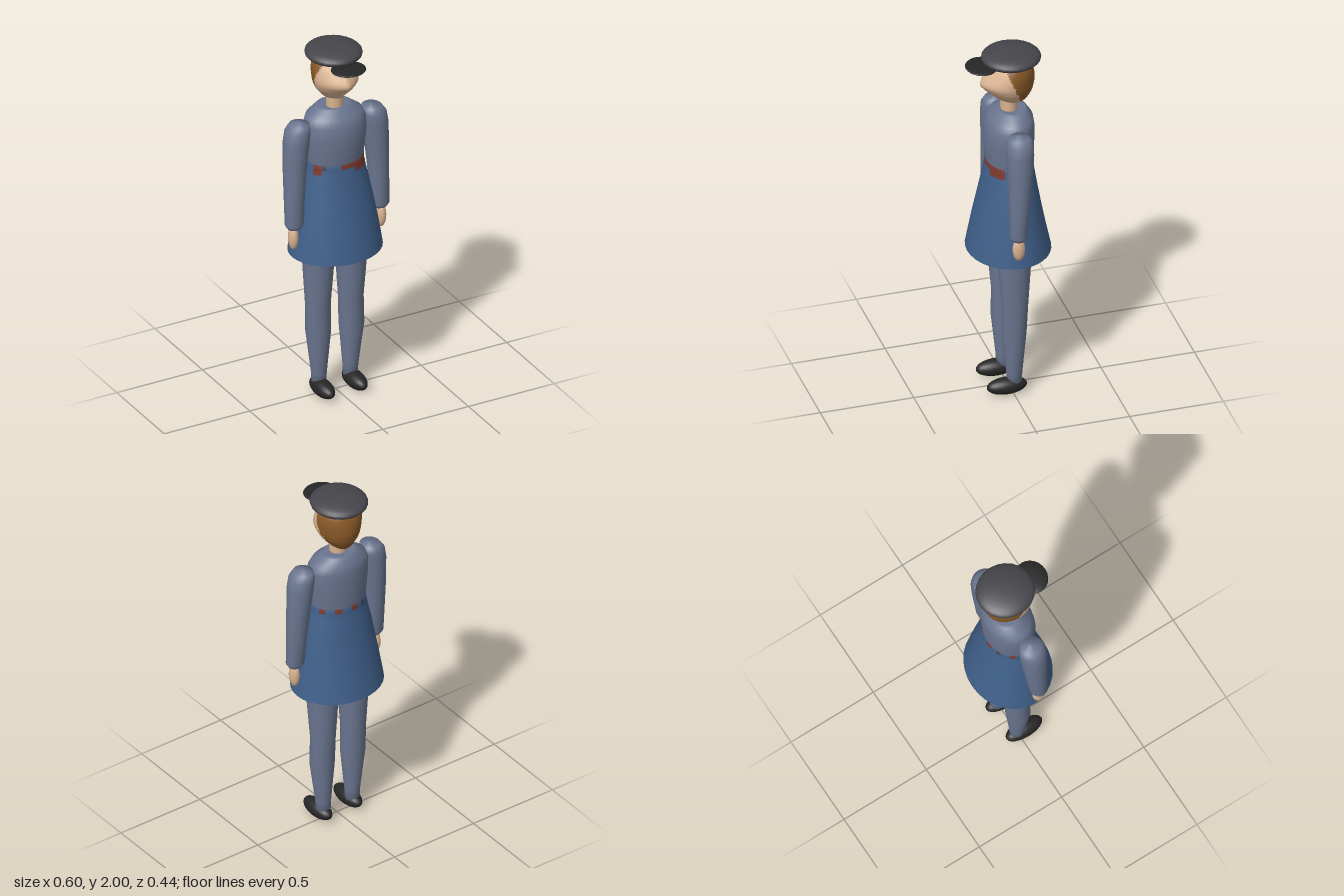
import * as THREE from 'three';

const mat = (name, color, side = THREE.FrontSide) => {
  const m = new THREE.MeshStandardMaterial({ color, side });
  m.name = name;
  return m;
};

// Smooth skin over rings [y, centreX, halfWidth, zFront, zBack], listed upwards.
// steps > 1 rounds the profile, ridge sharpens the front, pick chooses a material per face.
function loft(rings, { sides = 24, steps = 1, ridge = 0, pick = null } = {}) {
  const at = (t) => {
    const i = Math.min(Math.floor(t), rings.length - 2), f = t - i;
    const ring = (k) => rings[Math.max(0, Math.min(rings.length - 1, k))];
    return rings[0].map((_, c) => {
      const [p, q, r, s] = [ring(i - 1)[c], ring(i)[c], ring(i + 1)[c], ring(i + 2)[c]];
      const m0 = (r - p) / 2, m1 = (s - q) / 2, d = r - q;
      return q + m0 * f + (3 * d - 2 * m0 - m1) * f * f + (m0 + m1 - 2 * d) * f * f * f;
    });
  };
  const rows = (rings.length - 1) * steps;
  const pos = [], faces = [];
  for (let i = 0; i <= rows; i++) {
    const [y, cx, w, zf, zb] = at(i / steps);
    const cz = (zf + zb) / 2, d = (zf - zb) / 2;
    for (let j = 0; j < sides; j++) {
      const a = (j / sides) * Math.PI * 2, c = Math.cos(a), s = Math.sin(a);
      const wedge = s > 0 ? s * (1 - ridge) + (1 - Math.abs(c)) * ridge : s;
      pos.push(cx + w * c, y, cz + d * wedge);
    }
  }
  for (let i = 0; i < rows; i++) {
    for (let j = 0; j < sides; j++) {
      const a = i * sides + j, b = i * sides + ((j + 1) % sides);
      const mid = [0, 1, 2].map((k) => (pos[a * 3 + k] + pos[(b + sides) * 3 + k]) / 2);
      const group = pick ? pick(...mid, ((j + 0.5) / sides) * 360) : 0;
      faces.push({ group, tri: [a, a + sides, b, b, a + sides, b + sides] });
    }
  }
  const geo = new THREE.BufferGeometry();
  geo.setAttribute('position', new THREE.Float32BufferAttribute(pos, 3));
  if (pick) {
    faces.sort((p, q) => p.group - q.group);
    faces.forEach((f, i) => {
      const last = geo.groups[geo.groups.length - 1];
      if (last && last.materialIndex === f.group) last.count += 6;
      else geo.addGroup(i * 6, 6, f.group);
    });
  }
  geo.setIndex(faces.flatMap((f) => f.tri));
  geo.computeVertexNormals();
  return geo;
}

export function createModel() {
  const model = new THREE.Group();
  model.name = 'uniformedFigure';
  const cloth = mat('greyBlueCloth', 0x6a758f);
  const coat = mat('blueCoat', 0x40608a, THREE.DoubleSide);
  const skin = mat('skin', 0xd9b390);
  const hair = mat('hair', 0x8a5a28);
  const felt = mat('capFelt', 0x46454b);
  const leather = mat('blackLeather', 0x262626);
  const belt = mat('redBelt', 0x7a382c);

  const add = (name, geo, material, parent = model) => {
    const mesh = new THREE.Mesh(geo, material);
    mesh.name = name;
    parent.add(mesh);
    return mesh;
  };
  const ball = (name, material, [x, y, z], [rx, ry, rz], parent = model) => {
    const mesh = add(name, new THREE.SphereGeometry(1, 24, 16), material, parent);
    mesh.position.set(x, y, z);
    mesh.scale.set(rx, ry, rz);
    return mesh;
  };

  // Jacket with sloping shoulders
  add('jacket', loft([
    [1.33, 0, 0.151, 0.11, -0.126],
    [1.40, 0, 0.16, 0.118, -0.131],
    [1.50, 0, 0.17, 0.124, -0.135],
    [1.57, 0, 0.17, 0.115, -0.134],
    [1.61, 0, 0.155, 0.095, -0.128],
    [1.65, 0, 0.098, 0.052, -0.102],
    [1.655, 0, 0.08, 0.045, -0.09],
    [1.645, 0, 0, -0.01, -0.01],
  ], { sides: 32 }), cloth);

  // Flared open skirt of the coat
  add('coatSkirt', loft([
    [0.83, 0, 0.252, 0.215, -0.222],
    [1.0, 0, 0.225, 0.182, -0.186],
    [1.2, 0, 0.187, 0.138, -0.15],
    [1.32, 0, 0.158, 0.117, -0.131],
  ], { sides: 32, steps: 2 }), coat);

  // Waistband: the belt shows only in patches
  const full = [[28, 68], [140, 158]];
  const upper = [[68, 102], [198, 214], [256, 270], [290, 306], [324, 342]];
  const dark = [[128, 140], [234, 246]];
  const inside = (list, a) => list.some(([p, q]) => a > p && a < q);
  add('waistband', loft([
    [1.305, 0, 0.163, 0.121, -0.134],
    [1.332, 0, 0.157, 0.116, -0.131],
    [1.358, 0, 0.157, 0.115, -0.13],
    [1.36, 0, 0.15, 0.108, -0.123],
  ], {
    sides: 72,
    pick: (x, y, z, a) => {
      if (inside(full, a) || (y > 1.33 && inside(upper, a))) return 1;
      return y > 1.33 && inside(dark, a) ? 2 : 0;
    },
  }), [coat, belt, felt]);

  // Neck
  const neck = add('neck', new THREE.CylinderGeometry(0.044, 0.044, 0.13, 24), skin);
  neck.position.set(0, 1.685, -0.008);

  // Head: pointed face in front, hair behind a slanting line
  add('head', loft([
    [1.688, 0, 0, -0.03, -0.03],
    [1.70, 0, 0.045, 0.03, -0.09],
    [1.75, 0, 0.091, 0.09, -0.122],
    [1.785, 0, 0.11, 0.126, -0.134],
    [1.82, 0, 0.119, 0.147, -0.14],
    [1.87, 0, 0.12, 0.118, -0.138],
    [1.92, 0, 0.108, 0.084, -0.122],
    [1.96, 0, 0.075, 0.05, -0.08],
    [1.975, 0, 0, -0.02, -0.02],
  ], {
    sides: 64, steps: 4, ridge: 0.3,
    pick: (x, y, z) => (z < 0.03 + (y - 1.91) * 0.42 ? 1 : 0),
  }), [skin, hair]);

  // Flat cap and visor
  ball('capCrown', felt, [0, 1.955, -0.02], [0.148, 0.045, 0.155]);
  ball('capVisor', leather, [0, 1.923, 0.138], [0.093, 0.012, 0.084]);

  // Arms and legs, mirrored by side
  for (const s of [1, -1]) {
    const label = s > 0 ? 'left' : 'right';
    const arm = new THREE.Group();
    arm.name = label + 'Arm';
    model.add(arm);
    add(label + 'Sleeve', loft([
      [1.006, s * 0.25, 0, 0.018, 0.018],
      [1.008, s * 0.25, 0.036, 0.05, -0.014],
      [1.03, s * 0.25, 0.05, 0.063, -0.028],
      [1.2, s * 0.246, 0.055, 0.064, -0.044],
      [1.35, s * 0.24, 0.062, 0.067, -0.058],
      [1.5, s * 0.23, 0.069, 0.073, -0.07],
      [1.56, s * 0.222, 0.067, 0.071, -0.07],
      [1.595, s * 0.212, 0.052, 0.056, -0.057],
      [1.607, s * 0.208, 0, 0, 0],
    ]), cloth, arm);
    ball(label + 'Hand', skin, [s * 0.256, 0.955, 0.017], [0.026, 0.068, 0.033], arm);

    const leg = new THREE.Group();
    leg.name = label + 'Leg';
    model.add(leg);
    add(label + 'Trouser', loft([
      [0.05, s * 0.092, 0, -0.01, -0.01],
      [0.06, s * 0.092, 0.038, 0.029, -0.048],
      [0.12, s * 0.092, 0.041, 0.033, -0.05],
      [0.36, s * 0.097, 0.067, 0.057, -0.07],
      [0.52, s * 0.096, 0.066, 0.055, -0.079],
      [0.83, s * 0.096, 0.086, 0.085, -0.098],
      [1.0, s * 0.09, 0.088, 0.09, -0.1],
      [1.05, s * 0.09, 0, 0, 0],
    ]), cloth, leg);
    ball(label + 'Shoe', leather, [s * 0.095, 0.045, 0.032], [0.048, 0.045, 0.107], leg);
  }
  return model;
}
